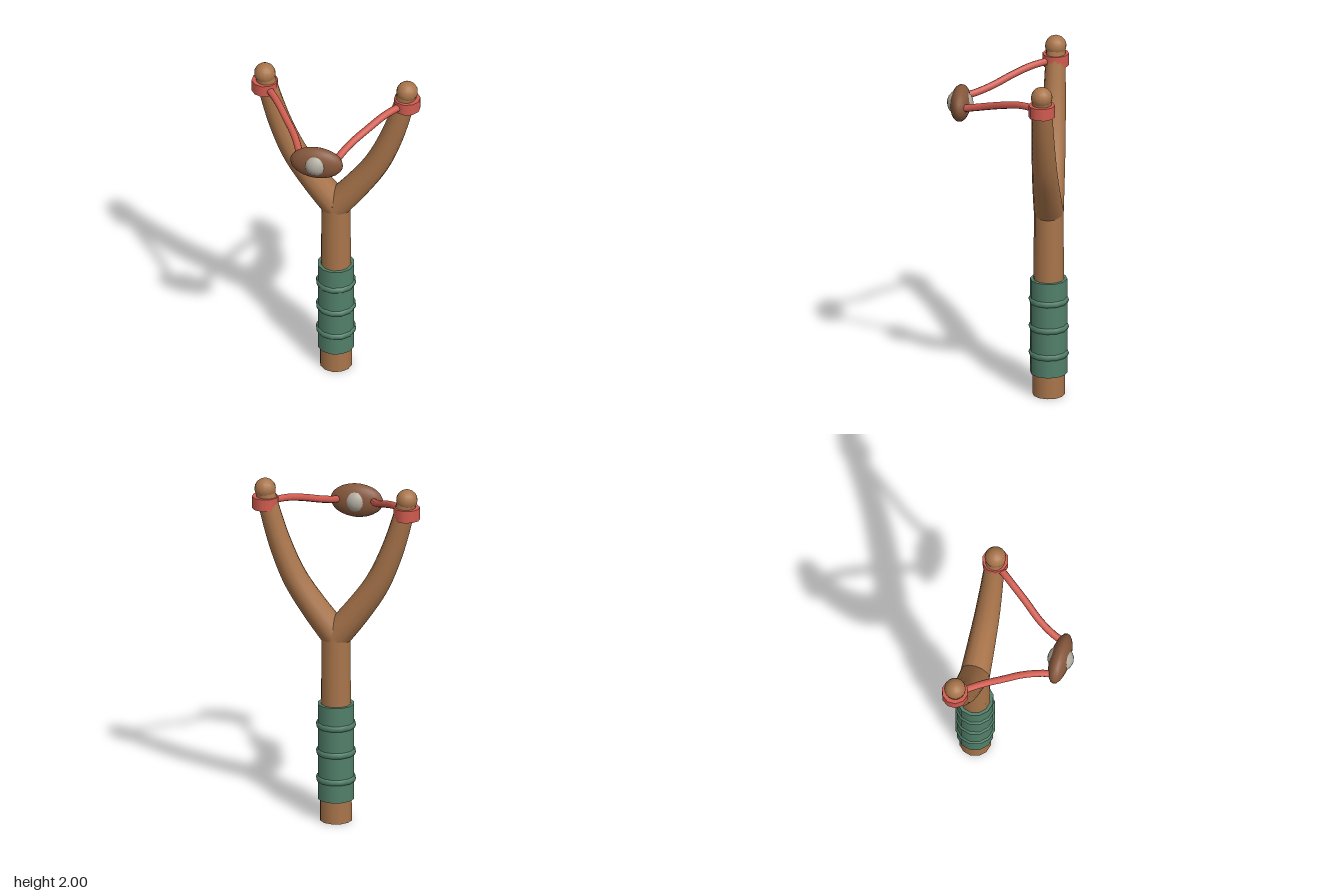
import * as THREE from 'three';

const material = (name, color) => {
  const m = new THREE.MeshStandardMaterial({ color });
  m.name = name;
  return m;
};

// Tube along points whose radius tapers from r0 to r1, with both ends closed
function taperedTube(points, r0, r1, rings, sides) {
  const curve = new THREE.CatmullRomCurve3(points.map((p) => new THREE.Vector3(...p)));
  const geo = new THREE.TubeGeometry(curve, rings, 1, sides, false);
  const pos = geo.attributes.position;
  const v = new THREE.Vector3();
  for (let i = 0; i <= rings; i++) {
    const end = i === 0 || i === rings;
    const on = i === 0 ? 1 : i === rings ? rings - 1 : i;
    const t = (on - 1) / (rings - 2);
    // the outermost rings shrink to a point and become the end caps
    const radius = end ? 0 : THREE.MathUtils.lerp(r0, r1, t);
    const from = curve.getPointAt(i / rings);
    const to = curve.getPointAt(t);
    for (let j = 0; j <= sides; j++) {
      const k = i * (sides + 1) + j;
      v.fromBufferAttribute(pos, k).sub(from).multiplyScalar(radius).add(to);
      pos.setXYZ(k, v.x, v.y, v.z);
    }
  }
  return geo;
}

export function createModel() {
  const model = new THREE.Group();
  model.name = 'slingshot';
  const wood = material('wood', 0xa9754b);
  const wrap = material('greenWrap', 0x52806a);
  const rubber = material('redRubber', 0xd25c50);
  const leather = material('leather', 0x85573c);
  const stone = material('stone', 0xb2ada2);

  const add = (name, geo, mat, x, y, z) => {
    const mesh = new THREE.Mesh(geo, mat);
    mesh.name = name;
    mesh.position.set(x, y, z);
    model.add(mesh);
    return mesh;
  };
  const Z = -0.23; // depth of the wooden frame

  // Handle and wrapped grip
  add('handle', new THREE.CylinderGeometry(0.083, 0.092, 1.13, 12), wood, 0, 0.565, Z);
  add('grip', new THREE.CylinderGeometry(0.105, 0.105, 0.565, 12), wrap, 0, 0.4125, Z);
  for (const y of [0.25, 0.41, 0.57]) {
    const ring = new THREE.TorusGeometry(0.093, 0.022, 8, 12);
    ring.rotateX(Math.PI / 2).rotateY(Math.PI / 2);
    add('gripRing', ring, wrap, 0, y, Z);
  }

  for (const s of [1, -1]) {
    const side = s > 0 ? 'left' : 'right';

    // Curved fork arm with a rounded tip
    const arm = [[0, 1.1, 0], [0.12, 1.25, 0], [0.235, 1.42, 0], [0.315, 1.6, 0], [0.37, 1.77, 0], [0.41, 1.925, 0]];
    add(side + 'Arm', taperedTube(arm.map(([x, y, z]) => [s * x, y, z]), 0.085, 0.055, 24, 12), wood, 0, 0, Z);
    add(side + 'Tip', new THREE.SphereGeometry(0.061, 14, 10), wood, s * 0.41, 1.939, Z);

    // Collar that ties the band to the arm
    add(side + 'Collar', new THREE.CylinderGeometry(0.075, 0.075, 0.07, 10), rubber, s * 0.41, 1.86, Z);

    // Stretched band
    const band = [[0.4, 1.86, -0.22], [0.31, 1.85, -0.1], [0.24, 1.82, 0], [0.168, 1.782, 0.1], [0.118, 1.75, 0.2], [0.1, 1.737, 0.26]];
    add(side + 'Band', taperedTube(band.map(([x, y, z]) => [s * x, y, z]), 0.021, 0.021, 20, 8), rubber, 0, 0, 0);
  }

  // Pouch holding a stone
  const pouch = add('pouch', new THREE.SphereGeometry(1, 20, 14), leather, 0, 1.732, 0.268);
  pouch.scale.set(0.152, 0.098, 0.058);
  add('stone', new THREE.SphereGeometry(0.075, 16, 12), stone, 0, 1.735, 0.27);

  return model;
}
